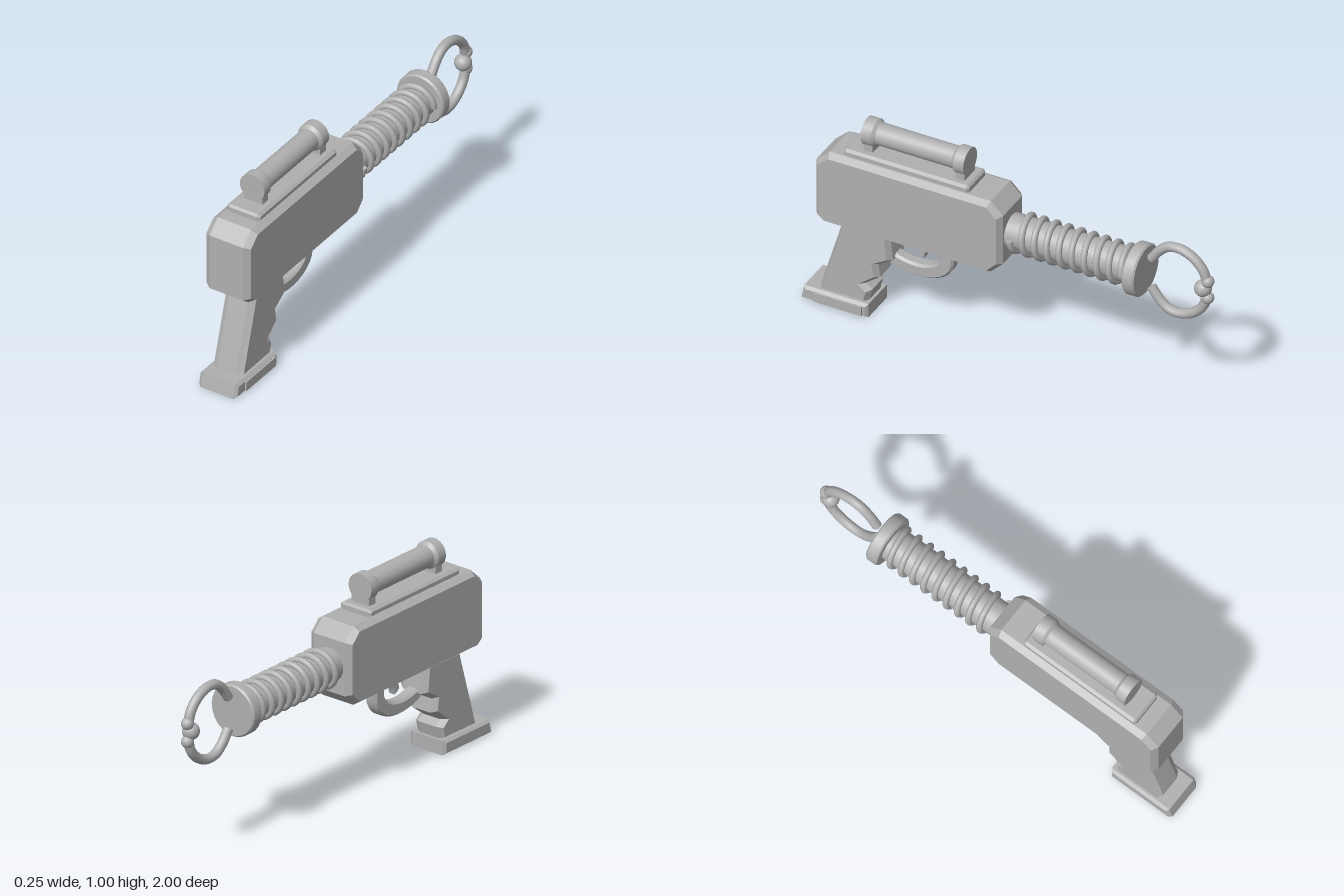
import * as THREE from 'three';
import { toCreasedNormals } from 'three/addons/utils/BufferGeometryUtils.js';

export function createModel() {
  const model = new THREE.Group();
  model.name = 'rayGun';
  const gray = new THREE.MeshStandardMaterial({ color: 0xb0b0b0 });
  gray.name = 'gray';
  const AXIS_Y = 0.64;

  const add = (name, geometry, x = 0, y = 0, z = 0) => {
    const mesh = new THREE.Mesh(geometry, gray);
    mesh.name = name;
    mesh.position.set(x, y, z);
    model.add(mesh);
  };

  const polygon = points => new THREE.Shape(points.map(p => new THREE.Vector2(...p)));

  // Side profile drawn in z and y, extruded across x with chamfered sides
  const slab = (name, shape, halfWidth, bevelX, inset) => {
    const depth = 2 * (halfWidth - bevelX);
    const g = new THREE.ExtrudeGeometry(shape, {
      depth, bevelThickness: bevelX, bevelSize: inset, bevelOffset: -inset, bevelSegments: 1, curveSegments: 10,
    });
    g.translate(0, 0, -depth / 2);
    g.rotateY(-Math.PI / 2);
    add(name, toCreasedNormals(g, 0.5));
  };

  // Turned part along z from [radius, z] points, z ascending
  const turned = (name, points, y) => {
    const g = new THREE.LatheGeometry(points.map(p => new THREE.Vector2(...p)), 24);
    g.rotateX(Math.PI / 2);
    add(name, toCreasedNormals(g, 0.5), 0, y);
  };

  // Round wire with flat end caps
  const tube = (name, curve, segments, radius) => {
    add(name, new THREE.TubeGeometry(curve, segments, radius, 10));
    for (const t of [0, 1]) {
      const cap = new THREE.Mesh(new THREE.CircleGeometry(radius, 10), gray);
      cap.name = name + 'End';
      cap.position.copy(curve.getPointAt(t));
      const out = curve.getTangentAt(t).multiplyScalar(t ? 1 : -1);
      cap.quaternion.setFromUnitVectors(new THREE.Vector3(0, 0, 1), out);
      model.add(cap);
    }
  };

  // Receiver and top rail
  slab('body', polygon([
    [0.06, 0.45], [0.88, 0.45], [0.925, 0.485], [0.925, 0.765],
    [0.86, 0.825], [0.06, 0.825], [0, 0.765], [0, 0.51],
  ]), 0.117, 0.03, 0.02);
  slab('rail', polygon([
    [0.175, 0.82], [0.795, 0.82], [0.795, 0.848], [0.785, 0.858], [0.185, 0.858], [0.175, 0.848],
  ]), 0.086, 0.014, 0.01);

  // Sight tube on two feet
  const SIGHT_Y = 0.935;
  turned('sightTube', [[0.052, 0.25], [0.052, 0.68]], SIGHT_Y);
  turned('sightRearCap', [[0, 0.21], [0.065, 0.21], [0.065, 0.26], [0.052, 0.275]], SIGHT_Y);
  turned('sightFrontCap', [[0.052, 0.655], [0.065, 0.67], [0.065, 0.72], [0, 0.72]], SIGHT_Y);
  for (const z of [0.235, 0.69]) add('sightFoot', new THREE.BoxGeometry(0.098, 0.06, 0.045), 0, 0.878, z);

  // Barrel, muzzle disc and coil
  turned('barrel', [[0.08, -0.61], [0.08, 0.01]], AXIS_Y);
  turned('muzzleDisc', [
    [0, -0.663], [0.116, -0.663], [0.123, -0.655], [0.123, -0.61], [0.116, -0.602], [0, -0.602],
  ], AXIS_Y);
  class Coil extends THREE.Curve {
    getPoint(t, out = new THREE.Vector3()) {
      const a = t * 9 * Math.PI * 2;
      return out.set(0.086 * Math.cos(a), AXIS_Y - 0.086 * Math.sin(a), -0.03 - 0.555 * t);
    }
  }
  tube('coil', new Coil(), 216, 0.015);

  // Two prongs meeting at a cluster of beads
  for (const s of [1, -1]) {
    const path = [[-0.69, 0.075], [-0.735, 0.135], [-0.78, 0.167], [-0.835, 0.171], [-0.895, 0.147],
      [-0.945, 0.095], [-0.966, 0.03]];
    const curve = new THREE.CatmullRomCurve3(path.map(([z, y]) => new THREE.Vector3(0, AXIS_Y + s * y, z)));
    tube('prong', curve, 30, 0.023);
    add('smallBead', new THREE.SphereGeometry(0.029, 16, 12), 0, AXIS_Y + s * 0.043, -0.969);
  }
  add('bead', new THREE.SphereGeometry(0.04, 18, 14), 0, AXIS_Y, -0.945);

  // Grip with finger notches
  slab('grip', polygon([
    [0.58, 0.46], [0.565, 0.32], [0.638, 0.275], [0.628, 0.21], [0.7, 0.155],
    [0.667, 0.13], [0.685, 0.06], [0.925, 0.06], [0.92, 0.085], [0.81, 0.46],
  ]), 0.078, 0.028, 0.018);

  // Grip base and its raised side plate
  slab('gripBase', polygon([[0.668, 0.003], [1, 0.003], [0.985, 0.072], [0.668, 0.072]]), 0.1, 0.014, 0.012);
  add('basePlate', new THREE.BoxGeometry(0.016, 0.046, 0.235), 0.1, 0.036, 0.81);

  // Trigger guard and trigger
  const guard = new THREE.Shape();
  guard.moveTo(0.28, 0.46);
  guard.lineTo(0.28, 0.37);
  guard.bezierCurveTo(0.29, 0.25, 0.49, 0.225, 0.6, 0.295);
  guard.lineTo(0.58, 0.345);
  guard.bezierCurveTo(0.49, 0.3, 0.345, 0.315, 0.345, 0.395);
  guard.lineTo(0.345, 0.46);
  slab('triggerGuard', guard, 0.032, 0.012, 0.01);

  const trigger = new THREE.Shape();
  trigger.moveTo(0.395, 0.46);
  trigger.quadraticCurveTo(0.4, 0.41, 0.42, 0.385);
  trigger.lineTo(0.43, 0.353);
  trigger.lineTo(0.458, 0.375);
  trigger.quadraticCurveTo(0.46, 0.395, 0.445, 0.415);
  trigger.lineTo(0.45, 0.46);
  slab('trigger', trigger, 0.02, 0.006, 0.005);

  return model;
}
